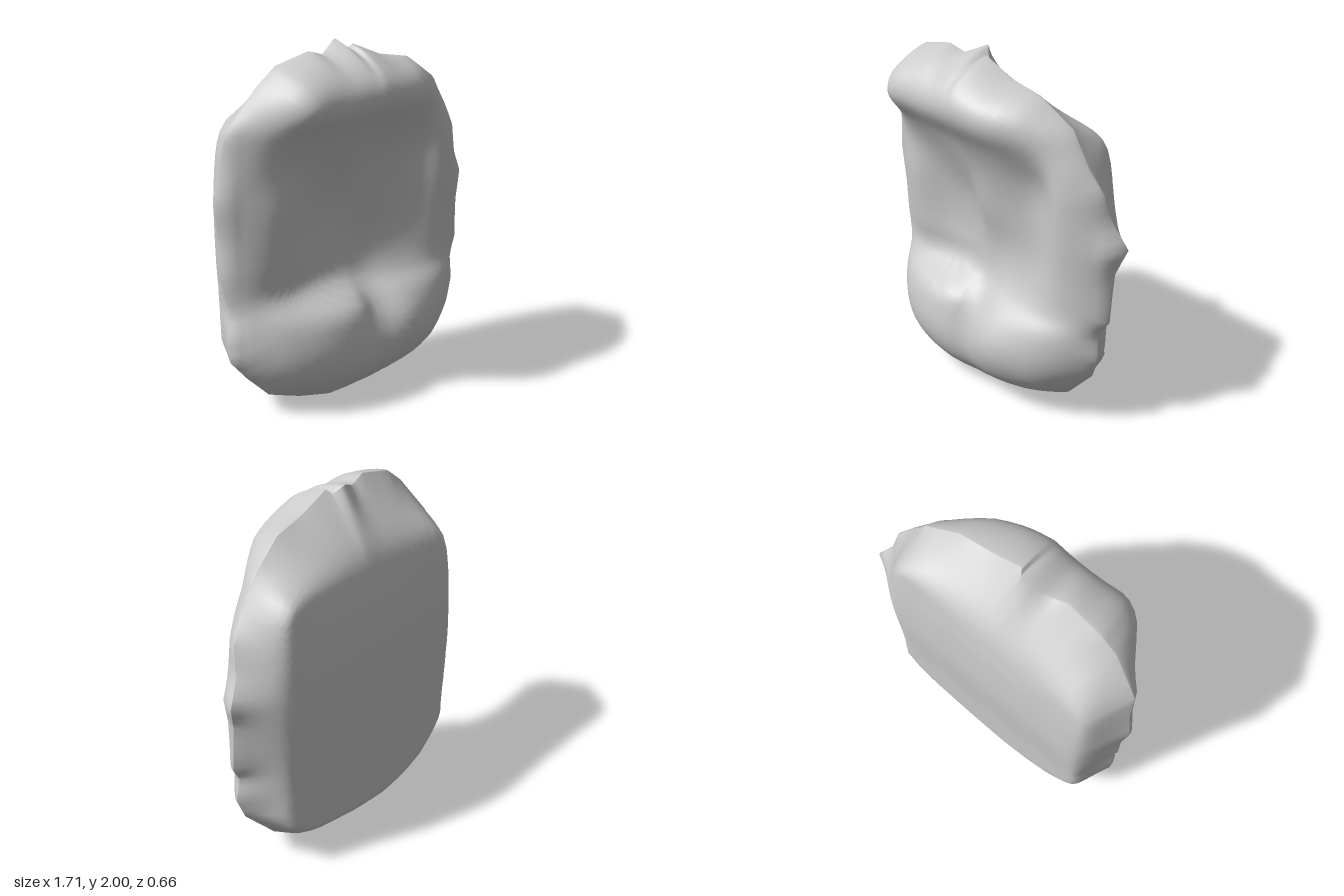
import * as THREE from 'three';

// Rim of the slab, clockwise seen from the front: x, y, z
const RIM = [
  [-0.1, 2, -0.04], [-0.05, 1.95, 0], [-0.03, 1.975, 0.03], [0.15, 1.9, 0.02], [0.35, 1.86, 0],
  [0.55, 1.73, -0.04], [0.66, 1.55, -0.05], [0.74, 1.43, -0.08], [0.77, 1.27, -0.12], [0.85, 1.13, -0.16],
  [0.8, 0.98, -0.12], [0.8, 0.7, -0.1], [0.74, 0.6, -0.08], [0.76, 0.46, -0.07], [0.71, 0.33, -0.08],
  [0.52, 0.12, -0.1], [0.4, 0.09, -0.06], [0.05, 0.02, 0], [-0.22, 0, 0], [-0.4, 0.04, 0],
  [-0.58, 0.1, 0], [-0.7, 0.22, -0.02], [-0.79, 0.33, -0.04], [-0.8, 0.46, -0.04], [-0.77, 0.6, -0.05],
  [-0.82, 0.8, -0.06], [-0.82, 1, -0.06], [-0.855, 1.22, -0.05], [-0.82, 1.42, -0.04], [-0.8, 1.61, 0],
  [-0.63, 1.83, 0.04], [-0.52, 1.92, 0.04], [-0.32, 1.97, 0.04], [-0.22, 1.94, 0.02],
];

// Depth of the front face: brow at the top, hollow in the middle, split bulge below
const COLS = [-0.75, -0.55, -0.3, -0.1, 0, 0.2, 0.42, 0.58, 0.75];
const ROWS = [0, 0.2, 0.45, 0.59, 0.67, 0.85, 1.15, 1.4, 1.55, 1.7, 1.82, 2];
const FRONT = [
  0.10, 0.18, 0.22, 0.22, 0.20, 0.22, 0.20, 0.14, 0.06,
  0.12, 0.23, 0.28, 0.27, 0.24, 0.26, 0.22, 0.16, 0.05,
  0.10, 0.21, 0.27, 0.25, 0.20, 0.26, 0.21, 0.14, 0.03,
  0.07, 0.16, 0.21, 0.19, 0.13, 0.18, 0.16, 0.11, 0.02,
  0.06, 0.09, 0.08, 0.07, 0.06, 0.10, 0.10, 0.07, 0.02,
  0.06, 0.10, 0.05, 0.03, 0.03, 0.04, 0.05, 0.06, 0.02,
  0.07, 0.13, 0.07, 0.06, 0.09, 0.07, 0.04, 0.08, 0.03,
  0.09, 0.15, 0.15, 0.15, 0.15, 0.13, 0.06, 0.10, 0.03,
  0.12, 0.22, 0.23, 0.22, 0.22, 0.20, 0.13, 0.11, 0.03,
  0.19, 0.36, 0.34, 0.33, 0.33, 0.31, 0.22, 0.12, 0.04,
  0.26, 0.42, 0.37, 0.37, 0.38, 0.36, 0.28, 0.18, 0.05,
  0.26, 0.42, 0.36, 0.36, 0.38, 0.36, 0.28, 0.18, 0.05,
];
const frontRows = new THREE.CubicInterpolant(ROWS, FRONT, COLS.length, new Float32Array(COLS.length));
const frontDepth = (x, y) =>
  new THREE.CubicInterpolant(COLS, frontRows.evaluate(y), 1, new Float32Array(1)).evaluate(x)[0];

// Depth of the nearly flat back
const backRows = new THREE.CubicInterpolant(
  [0, 0.5, 1, 1.35, 1.6, 2], [-0.3, -0.3, -0.32, -0.3, -0.27, -0.25], 1, new Float32Array(1));
const backDepth = (x, y) => backRows.evaluate(y)[0] - 0.025 * x;

// How far a point has left the rim depth for the face depth; dx, dy lead from the centre to the rim
function frontWeight(t, dy) {
  const power = 7 + 5 * Math.max(0, 1 - dy * dy);
  return Math.pow(Math.max(0, 1 - Math.pow(t, power)), 0.7);
}
function backWeight(t, dx, dy) {
  // The flat back is a rounded rectangle; a chamfer joins it to the rim
  const across = Math.abs(dx) / (dx > 0 ? 0.62 : 0.7);
  const along = Math.abs(dy) / (dy > 0 ? 0.66 : 0.94);
  const edge = Math.min(0.93, Math.pow(across ** 8 + along ** 8, -1 / 8));
  const u = Math.max(0, 1 - t) / (1 - edge);
  return u / Math.pow(1 + Math.pow(u, 6), 1 / 6);
}

function slabGeometry(rings = 32, split = 3) {
  // Subdivide the rim with straight steps to keep its chipped corners
  const rim = RIM.flatMap((p, i) => {
    const a = new THREE.Vector3(...p);
    const b = new THREE.Vector3(...RIM[(i + 1) % RIM.length]);
    return Array.from({ length: split }, (_, k) => a.clone().lerp(b, k / split));
  });
  const n = rim.length, cx = -0.02, cy = 1;
  // Softened rim for the inner rings, so the chips stay at the edge
  const soft = rim.map((_, j) => {
    const sum = new THREE.Vector3();
    for (let k = -3; k <= 3; k++) sum.add(rim[(j + k + n) % n]);
    return sum.divideScalar(7);
  });

  // Rings run from the front centre, over the rim, to the back centre
  const pos = [cx, cy, frontDepth(cx, cy)], index = [];
  for (let r = 1; r < 2 * rings; r++) {
    const t = Math.sin((r / rings) * Math.PI / 2);
    for (let j = 0; j < n; j++) {
      const p = soft[j].clone().lerp(rim[j], Math.pow(t, 8));
      const dx = p.x - cx, dy = p.y - cy;
      const x = cx + dx * t, y = cy + dy * t;
      const z = r <= rings
        ? THREE.MathUtils.lerp(p.z, frontDepth(x, y), frontWeight(t, dy))
        : THREE.MathUtils.lerp(p.z, backDepth(x, y), backWeight(t, dx, dy));
      pos.push(x, y, z);
    }
  }
  pos.push(cx, cy, backDepth(cx, cy));

  const last = pos.length / 3 - 1;
  const at = (r, j) => 1 + (r - 1) * n + (j % n);
  for (let j = 0; j < n; j++) {
    index.push(0, at(1, j + 1), at(1, j));
    for (let r = 1; r < 2 * rings - 1; r++) {
      const a = at(r, j), b = at(r, j + 1), c = at(r + 1, j), d = at(r + 1, j + 1);
      index.push(a, b, c, b, d, c);
    }
    index.push(last, at(2 * rings - 1, j), at(2 * rings - 1, j + 1));
  }

  const geo = new THREE.BufferGeometry();
  geo.setAttribute('position', new THREE.Float32BufferAttribute(pos, 3));
  geo.setIndex(index);
  geo.computeVertexNormals();
  return geo;
}

export function createModel() {
  const group = new THREE.Group();
  group.name = 'hollowedStone';
  const stone = new THREE.Mesh(slabGeometry(), new THREE.MeshStandardMaterial({ color: 0xcccccc }));
  stone.name = 'stoneSlab';
  group.add(stone);
  return group;
}
